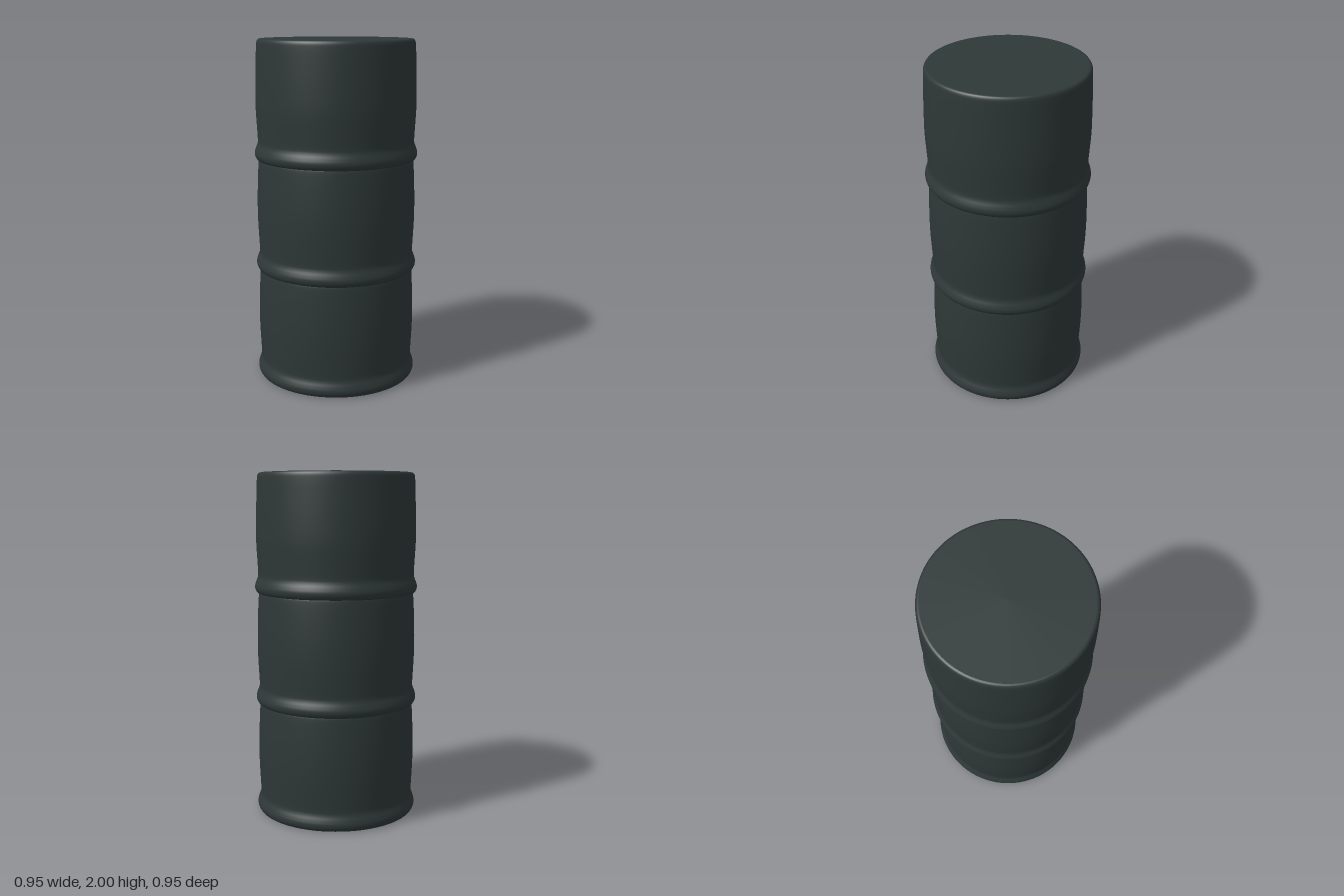
import * as THREE from 'three';

const SEGMENTS = 96;
const PITCH = 0.655;

// Smooth curve through [radius, height] points, raised by y
function profile(points, y, samples) {
  const curve = new THREE.SplineCurve(points.map(([r, h]) => new THREE.Vector2(r, h + y)));
  return curve.getPoints(samples);
}

export function createModel() {
  const model = new THREE.Group();
  model.name = 'barrel';
  const paint = new THREE.MeshStandardMaterial({ color: 0x2e3837, side: THREE.DoubleSide });
  paint.name = 'dark grey green';

  const add = (name, points) => {
    const mesh = new THREE.Mesh(new THREE.LatheGeometry(points, SEGMENTS), paint);
    mesh.name = name;
    model.add(mesh);
  };

  // Rolling hoop with a sharp tuck below and a soft slope above
  const hoop = [
    [0.447, 0], [0.462, 0.004], [0.473, 0.022], [0.475, 0.042],
    [0.469, 0.064], [0.459, 0.09], [0.456, 0.115],
  ];
  // Gently bulging wall above each hoop
  const wall = [
    [0.456, 0.115], [0.459, 0.18], [0.464, 0.3], [0.464, 0.42], [0.459, 0.56], [0.453, PITCH - 0.006], [0.447, PITCH],
  ];
  // The top wall ends in a rounded shoulder
  const topWall = [
    [0.456, 0.115], [0.459, 0.18], [0.465, 0.3], [0.464, 0.42], [0.459, 0.58],
    [0.456, 0.65], [0.453, 0.674], [0.446, 0.686], [0.436, 0.69],
  ];

  ['lower', 'middle', 'upper'].forEach((level, i) => {
    const shape = [...hoop, ...(i === 2 ? topWall : wall).slice(1)];
    add(level + 'Section', profile(shape, i * PITCH, 72));
  });

  // Flat lid; the underside is open
  const lid = new THREE.Mesh(new THREE.CircleGeometry(0.436, SEGMENTS), paint);
  lid.name = 'lid';
  lid.rotation.x = -Math.PI / 2;
  lid.position.y = 2 * PITCH + 0.69;
  model.add(lid);

  return model;
}
